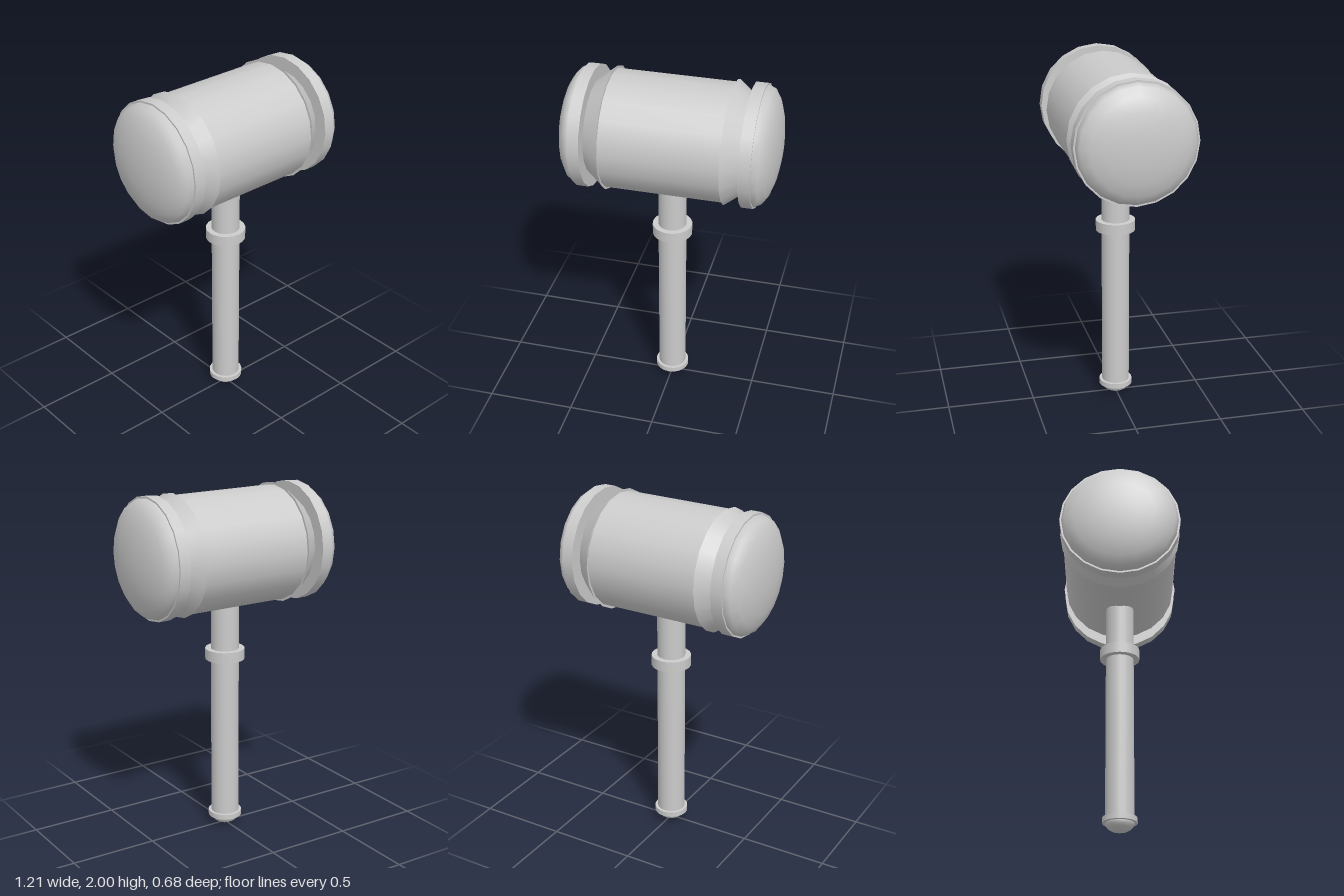
import * as THREE from 'three';

const SIDES = 20;
const material = new THREE.MeshStandardMaterial({ color: 0xcccccc });

function addMesh(parent, name, geometry, y = 0) {
  const mesh = new THREE.Mesh(geometry, material);
  mesh.name = name;
  mesh.position.y = y;
  parent.add(mesh);
  return mesh;
}

// Closed cylinder or cone spanning y0 to y1
function addDrum(parent, name, y0, y1, rBottom, rTop = rBottom) {
  return addMesh(parent, name,
    new THREE.CylinderGeometry(rTop, rBottom, y1 - y0, SIDES), (y0 + y1) / 2);
}

// Half ellipsoid rising from y = 0
function domeGeometry(radius, height) {
  return new THREE.SphereGeometry(1, SIDES, 5, 0, Math.PI * 2, 0, Math.PI / 2)
    .scale(radius, height, radius);
}

export function createModel() {
  const model = new THREE.Group();
  model.name = 'mallet';

  // Head: built along y, then laid on its side
  const head = new THREE.Group();
  head.name = 'head';
  head.position.y = 1.66;
  head.rotation.z = -Math.PI / 2;
  model.add(head);
  addDrum(head, 'headBarrel', -0.33, 0.33, 0.328);

  // Both ends: tapered collar, flat band, domed striking face
  for (const side of ['left', 'right']) {
    const end = new THREE.Group();
    end.name = side + 'End';
    if (side === 'right') end.rotation.z = Math.PI;
    head.add(end);
    addDrum(end, 'collar', 0.329, 0.427, 0.342, 0.265);
    addDrum(end, 'band', 0.427, 0.492, 0.34);
    addMesh(end, 'strikingFace', domeGeometry(0.33, 0.111), 0.492);
  }

  // Handle with its upper ring, lower ring and rounded pommel
  const handle = new THREE.Group();
  handle.name = 'handle';
  model.add(handle);
  addDrum(handle, 'shaft', 0.05, 1.4, 0.08);
  addDrum(handle, 'upperRing', 1.023, 1.085, 0.113);
  addDrum(handle, 'lowerRing', 0.05, 0.08, 0.097);
  const pommel = addMesh(handle, 'pommel', domeGeometry(0.08, 0.05), 0.05);
  pommel.rotation.x = Math.PI;

  return model;
}
